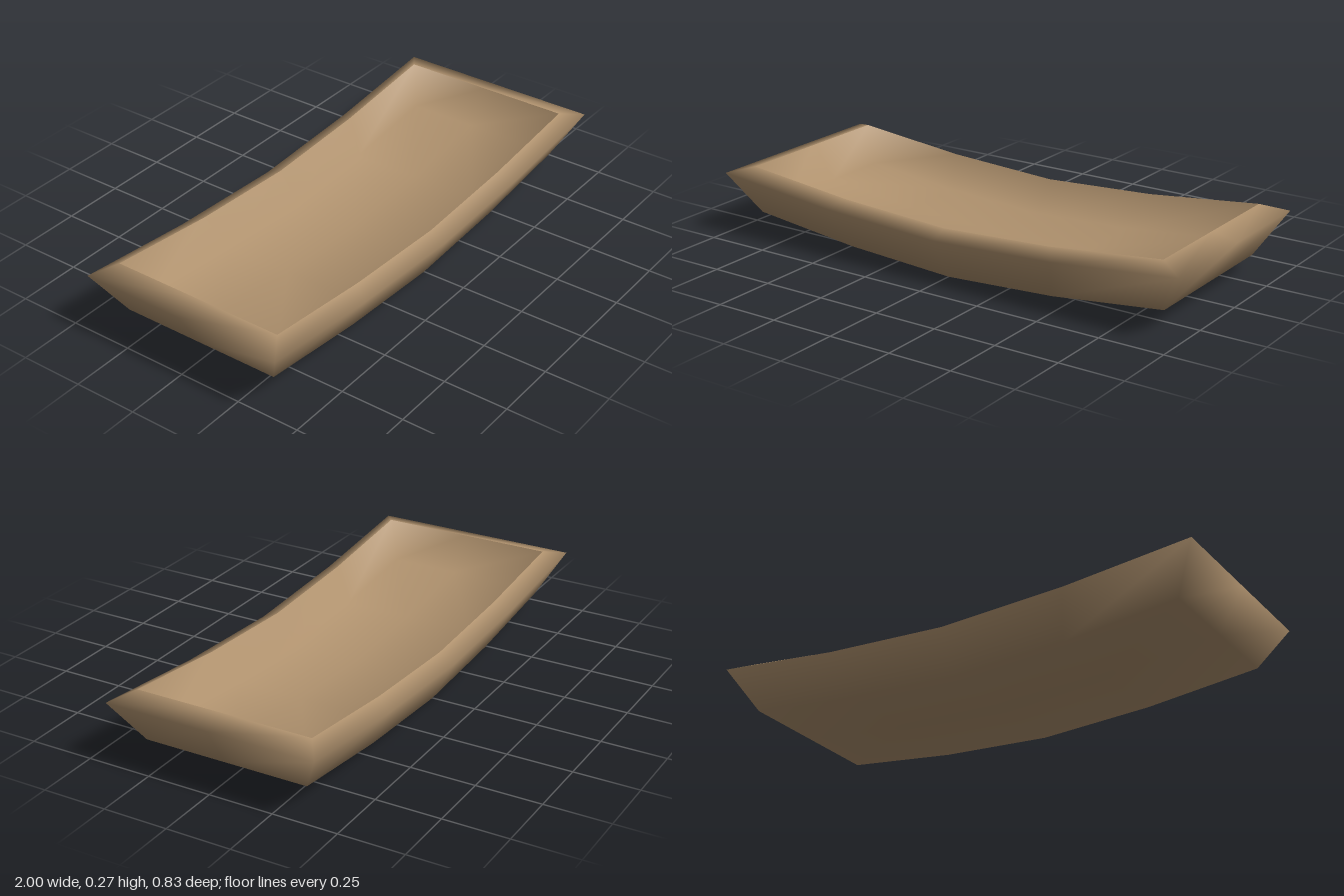
import * as THREE from 'three';

const STATIONS = [-1, -0.5, 0, 0.5, 1];
const SIDES = [-1, 0, 1];
// Border of the 5 x 3 grid, counter-clockwise seen from above
const BORDER = [2, 5, 8, 11, 14, 13, 12, 9, 6, 3, 0, 1];

// One level of the dish: half length, half width, height in the middle, rise at the ends
const BOTTOM = [0.9, 0.325, 0, 0.076];
const RIM = [1, 0.415, 0.165, 0.076];
const RIDGE = [0.905, 0.35, 0.195, 0.072];
const FLOOR = [0.81, 0.27, 0.075, 0.062];

// Lofts levels into one smooth surface; optionally closes the first or last level
function loft(levels, closeFirst, closeLast) {
  const positions = [];
  const index = [];
  const quad = (a, b, c, d) => index.push(a, b, c, a, c, d);

  for (const [hx, hz, y, rise] of levels)
    for (const s of STATIONS)
      for (const t of SIDES)
        positions.push(s * hx, y + rise * Math.pow(Math.abs(s), 1.6), t * hz);

  for (let l = 0; l + 1 < levels.length; l++)
    BORDER.forEach((p, k) => {
      const q = BORDER[(k + 1) % BORDER.length];
      quad(l * 15 + p, l * 15 + q, l * 15 + 15 + q, l * 15 + 15 + p);
    });

  const cap = (base, up) => {
    for (let i = 0; i < 4; i++)
      for (let j = 0; j < 2; j++) {
        const a = base + i * 3 + j;
        if (up) quad(a + 1, a + 4, a + 3, a);
        else quad(a, a + 3, a + 4, a + 1);
      }
  };
  if (closeFirst) cap(0, false);
  if (closeLast) cap((levels.length - 1) * 15, true);

  const geometry = new THREE.BufferGeometry();
  geometry.setAttribute('position', new THREE.Float32BufferAttribute(positions, 3));
  geometry.setIndex(index);
  geometry.computeVertexNormals();
  return geometry;
}

export function createModel() {
  const group = new THREE.Group();
  group.name = 'curvedTray';

  const wood = new THREE.MeshStandardMaterial({ color: 0xb0926e });
  wood.name = 'light brown wood';

  // Underside, flared walls and sloping rim
  const shell = new THREE.Mesh(loft([BOTTOM, RIM, RIDGE], true, false), wood);
  shell.name = 'outerShell';

  // Hollow inside the rim
  const hollow = new THREE.Mesh(loft([RIDGE, FLOOR], false, true), wood);
  hollow.name = 'innerHollow';

  group.add(shell, hollow);
  return group;
}
